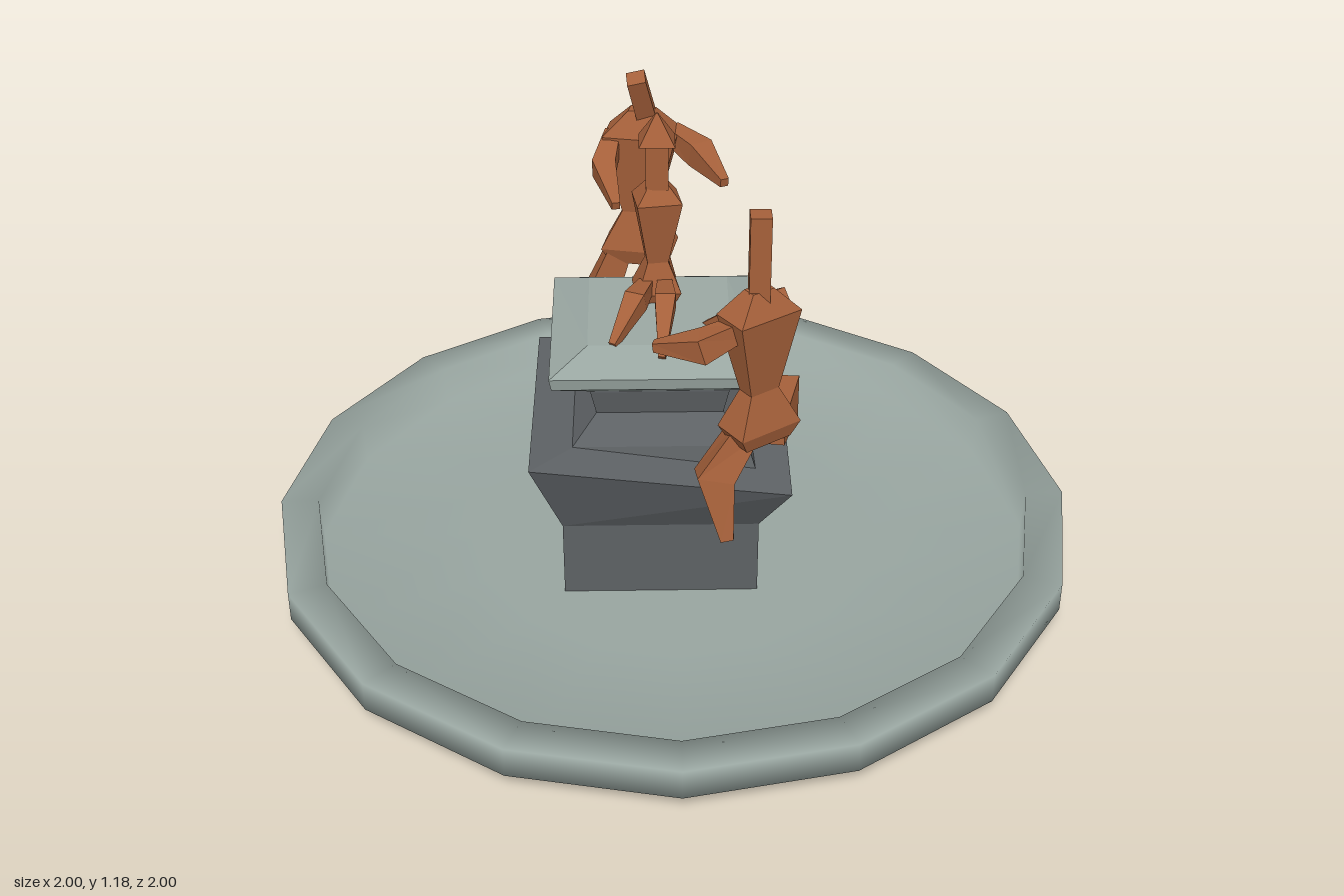
import * as THREE from 'three';

const mat = (name, color) => {
  const m = new THREE.MeshStandardMaterial({ color });
  m.name = name;
  return m;
};
const V = (x, y, z) => new THREE.Vector3(x, y, z);

// Flat-shaded skin over four-cornered rings, closed at both ends
function loft(rings) {
  const pos = [];
  const quad = (a, b, c, d) => [a, b, c, a, c, d].forEach((p) => pos.push(p.x, p.y, p.z));
  for (let r = 0; r < rings.length - 1; r++) {
    const lo = rings[r], hi = rings[r + 1];
    for (let i = 0; i < 4; i++) {
      const j = (i + 1) % 4;
      quad(lo[i], lo[j], hi[j], hi[i]);
    }
  }
  quad(...[...rings[0]].reverse());
  quad(...rings[rings.length - 1]);
  const g = new THREE.BufferGeometry();
  g.setAttribute('position', new THREE.Float32BufferAttribute(pos, 3));
  g.computeVertexNormals();
  return g;
}

// Level ring around a centre: half width, half depth and yaw
const levelRing = (c, hw, hd, yaw = 0) =>
  [[1, -1], [-1, -1], [-1, 1], [1, 1]].map(([sx, sz]) =>
    V(sx * hw, 0, sz * hd).applyAxisAngle(V(0, 1, 0), yaw).add(c));

// Square ring on the pedestal axis; back and front tilt its edges, dip moves the front left corner
const AXIS = -0.035;
function blockRing(y, hw, hd = hw, frontDrop = 0, dip = 0) {
  const ring = levelRing(V(AXIS, y, 0), hw, hd);
  ring[2].y -= frontDrop;
  ring[3].y -= frontDrop + dip;
  return ring;
}

// Angular limb through points, with one radius for each
function limb(points, radii) {
  const last = points.length - 1;
  return loft(points.map((p, i) => {
    const d = points[Math.min(i + 1, last)].clone().sub(points[Math.max(i - 1, 0)]).normalize();
    const ref = Math.abs(d.y) > 0.8 ? V(0, 0, 1) : V(0, 1, 0);
    const u = ref.cross(d).normalize(), v = d.clone().cross(u);
    return [0, 1, 2, 3].map((k) => {
      const a = Math.PI / 4 + k * Math.PI / 2;
      return p.clone().addScaledVector(u, radii[i] * Math.cos(a)).addScaledVector(v, radii[i] * Math.sin(a));
    });
  }));
}

// Shared body outline: height fraction and relative width at skirt, hip, waist, shoulder, neck
const BODY = [[0, 0.75], [0.1, 1], [0.34, 0.47], [0.85, 1], [1, 0.35]];
const body = (base, neck, hw, hd, yaw) =>
  loft(BODY.map(([t, w]) => levelRing(base.clone().lerp(neck, t), hw * w, hd * w, yaw)));

// Arms and legs swell at the middle joint and taper to the end
const bent = (start, joint, end, r) => limb([start, joint, end], [r * 0.7, r, r * 0.35]);

export function createModel() {
  const model = new THREE.Group();
  model.name = 'fountain';
  const stone = mat('paleStone', 0x98a5a0);
  const dark = mat('darkStone', 0x5d6164);
  const bronze = mat('bronze', 0xa5603a);
  const add = (parent, name, geometry, material) => {
    const m = new THREE.Mesh(geometry, material);
    m.name = name;
    parent.add(m);
  };
  const figure = (name, parts) => {
    const group = new THREE.Group();
    group.name = name;
    for (const part in parts) add(group, part, parts[part], bronze);
    model.add(group);
  };

  // Sixteen-sided basin with a soft floor and a raised rim
  const profile = [[0, 0], [0.5, 0], [0.908, 0], [0.908, 0.05], [1, 0.05], [1, 0.125],
    [0.905, 0.125], [0.9, 0.02], [0.5, 0.012], [0, 0.01]];
  add(model, 'basin', new THREE.LatheGeometry(profile.map(([r, y]) => new THREE.Vector2(r, y)), 16), stone);

  // Pedestal with a flared top whose front left corner dips
  add(model, 'pedestal', loft([
    blockRing(0.01, 0.238), blockRing(0.21, 0.238), blockRing(0.42, 0.31, 0.312, 0, 0.075),
  ]), dark);
  add(model, 'neck', loft([
    blockRing(0.34, 0.235), blockRing(0.42, 0.21), blockRing(0.48, 0.152),
    blockRing(0.545, 0.165), blockRing(0.57, 0.165),
  ]), dark);

  // Tilted slab the figures gather around
  add(model, 'slab', loft([
    blockRing(0.55, 0.167), blockRing(0.615, 0.255, 0.21, 0.035),
    blockRing(0.65, 0.26, 0.215, 0.04), blockRing(0.69, 0.17, 0.14, 0.03),
  ]), stone);

  // Front figure, one leg hanging and both arms reaching
  figure('frontFigure', {
    torso: body(V(0.195, 0.49, 0.28), V(0.187, 0.88, 0.27), 0.085, 0.048, 0.6),
    head: limb([V(0.187, 0.84, 0.268), V(0.187, 1.065, 0.268)], [0.034, 0.034]),
    rightLeg: bent(V(0.17, 0.53, 0.28), V(0.09, 0.4, 0.31), V(0.12, 0.26, 0.37), 0.062),
    leftLeg: bent(V(0.22, 0.5, 0.27), V(0.25, 0.49, 0.1), V(0.24, 0.41, 0.06), 0.072),
    rightArm: bent(V(0.15, 0.8, 0.3), V(0.06, 0.755, 0.31), V(-0.05, 0.74, 0.28), 0.045),
    leftArm: bent(V(0.24, 0.82, 0.21), V(0.2, 0.76, 0.15), V(0.08, 0.66, 0.05), 0.045),
  });

  // Back figure, standing and reaching forward
  figure('backFigure', {
    torso: body(V(-0.08, 0.66, -0.3), V(-0.07, 1.07, -0.3), 0.09, 0.05, -0.2),
    head: limb([V(-0.055, 1.03, -0.31), V(-0.085, 1.17, -0.255)], [0.034, 0.032]),
    rightLeg: bent(V(-0.13, 0.69, -0.3), V(-0.19, 0.53, -0.3), V(-0.22, 0.42, -0.33), 0.06),
    leftLeg: bent(V(-0.04, 0.69, -0.28), V(-0.01, 0.53, -0.25), V(0, 0.42, -0.2), 0.06),
    rightArm: bent(V(-0.14, 1, -0.31), V(-0.165, 0.95, -0.22), V(-0.135, 0.915, -0.08), 0.04),
    leftArm: bent(V(0, 1, -0.32), V(0.07, 0.975, -0.25), V(0.125, 0.955, -0.12), 0.042),
  });

  // Small seated figure with a pointed hat
  figure('seatedFigure', {
    torso: body(V(-0.04, 0.67, -0.068), V(-0.037, 0.99, -0.066), 0.054, 0.046, 0.15),
    head: limb([V(-0.037, 0.975, -0.066), V(-0.037, 1.095, -0.066)], [0.038, 0.038]),
    hat: limb([V(-0.037, 1.09, -0.066), V(-0.037, 1.16, -0.066)], [0.06, 0.004]),
    rightLeg: bent(V(-0.065, 0.72, -0.04), V(-0.09, 0.73, 0.05), V(-0.145, 0.66, 0.14), 0.035),
    leftLeg: bent(V(-0.02, 0.72, -0.04), V(-0.02, 0.74, 0.07), V(-0.03, 0.645, 0.175), 0.035),
  });
  return model;
}
